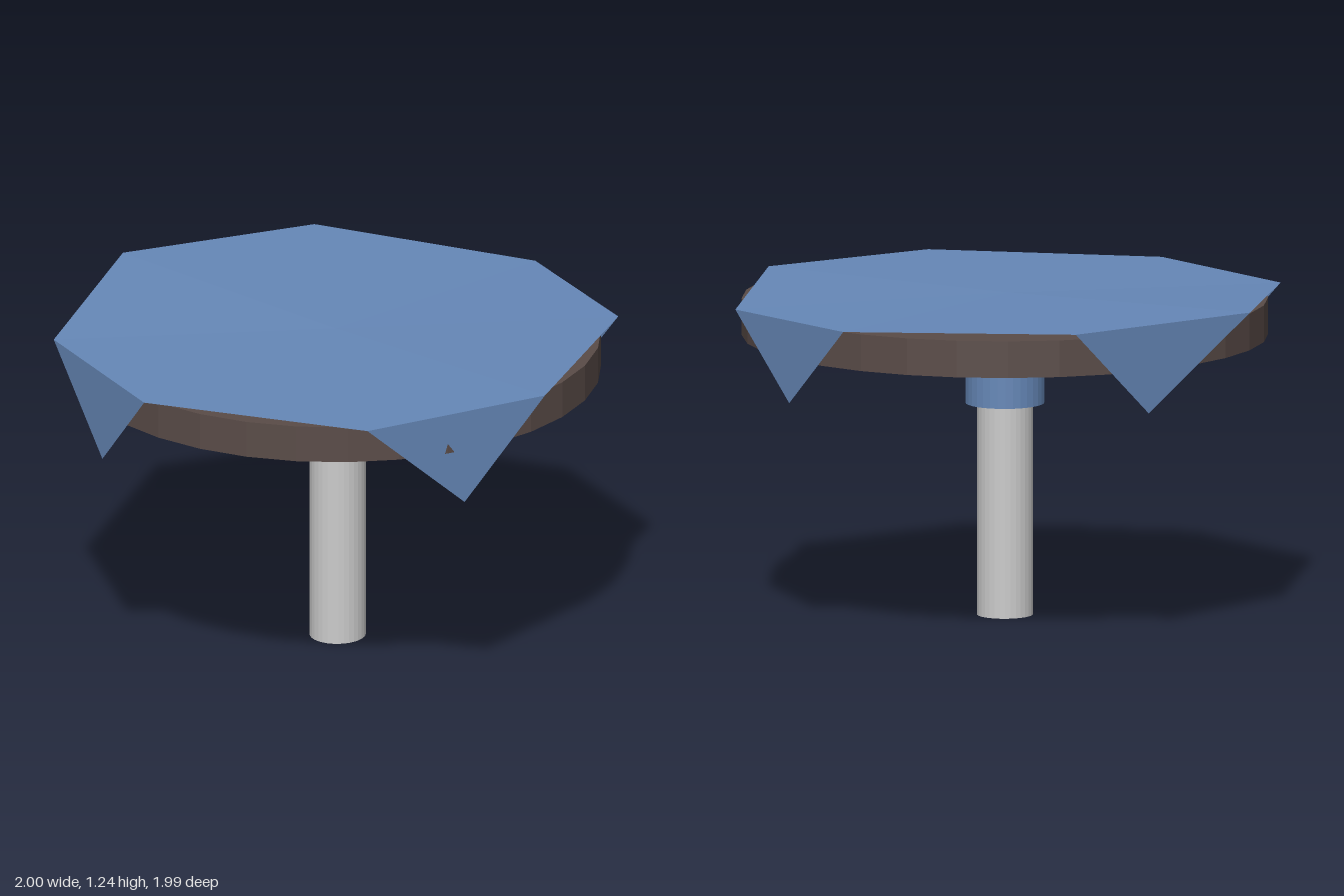
import * as THREE from 'three';

const material = (color, side = THREE.FrontSide) =>
  new THREE.MeshStandardMaterial({ color, flatShading: true, side });

// Upright, slightly oval round part between two heights
function disc(name, rx, rz, bottom, top, mat) {
  const geometry = new THREE.CylinderGeometry(1, 1, top - bottom, 32);
  geometry.scale(rx, 1, rz);
  geometry.translate(0.01, (bottom + top) / 2, 0);
  const mesh = new THREE.Mesh(geometry, mat);
  mesh.name = name;
  return mesh;
}

// Cloth: uneven octagon on the table with four hanging corners
function clothGeometry() {
  const rim = [
    [-0.41, 1.21, 0.96], [0.48, 1.212, 0.96],
    [0.984, 1.223, 0.406], [0.942, 1.21, -0.507],
    [0.45, 1.212, -0.948], [-0.44, 1.233, -0.975],
    [-1.0, 1.243, -0.42], [-0.955, 1.212, 0.455],
  ];
  // Hanging corner tips, one for every second rim edge
  const tips = [
    [0.75, 0.85, 0.64], [0.7, 0.895, -0.708],
    [-0.67, 0.9, -0.72], [-0.655, 0.877, 0.745],
  ];
  const center = [0, 1.22, 0];
  const points = [];
  rim.forEach((a, i) => {
    const b = rim[(i + 1) % rim.length];
    points.push(...center, ...a, ...b);
    if (i % 2 === 1) points.push(...a, ...tips[(i - 1) / 2], ...b);
  });
  const geometry = new THREE.BufferGeometry();
  geometry.setAttribute('position', new THREE.Float32BufferAttribute(points, 3));
  geometry.computeVertexNormals();
  return geometry;
}

export function createModel() {
  const table = new THREE.Group();
  table.name = 'table';
  const blue = 0x6688b8;

  table.add(
    disc('leg', 0.105, 0.11, 0, 0.803, material(0xcccccc)),
    disc('collar', 0.148, 0.152, 0.803, 1.061, material(blue)),
    disc('tableTop', 0.985, 0.995, 1.061, 1.2, material(0x5a4c48)),
  );

  const cloth = new THREE.Mesh(clothGeometry(), material(blue, THREE.DoubleSide));
  cloth.name = 'tablecloth';
  table.add(cloth);
  return table;
}
